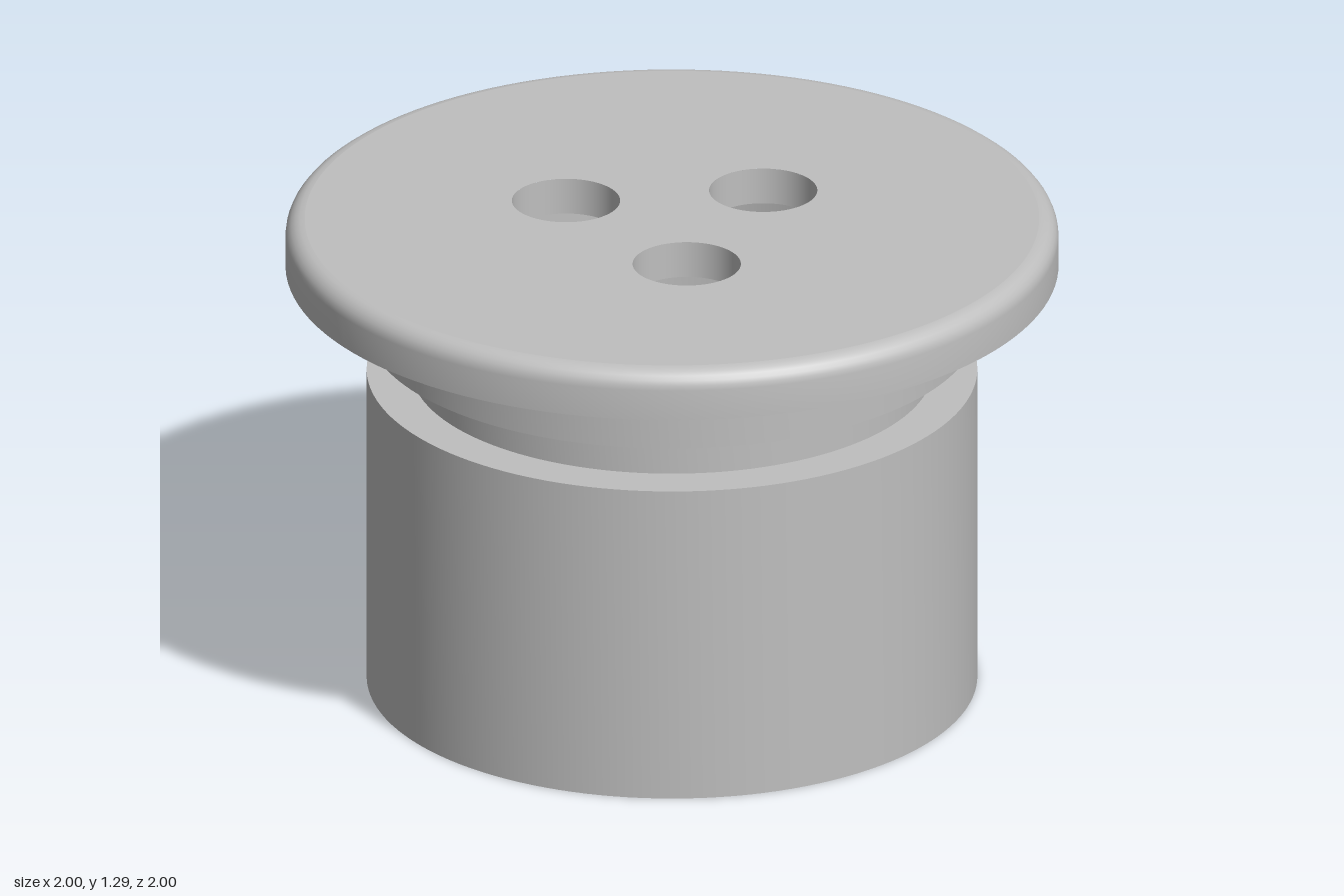
import * as THREE from 'three';
import { toCreasedNormals } from 'three/addons/utils/BufferGeometryUtils.js';

const SEG = 128;
const TOP = 1.293, CEILING = 1.195;   // cap thickness
const BORE = 0.566, FILLET = 0.05;
const HOLE_R = 0.14, HOLE_RING = 0.297;

export function createModel() {
  const group = new THREE.Group();
  const grey = new THREE.MeshStandardMaterial({ color: 0xbfbfbf });
  grey.name = 'grey';

  const add = (name, geometry, y = 0, x = 0, z = 0) => {
    const mesh = new THREE.Mesh(geometry, grey);
    mesh.name = name;
    mesh.position.set(x, y, z);
    group.add(mesh);
  };

  // Hole centres in x, z: one at the back, two toward the front
  const holes = [90, 210, 330].map((deg) => {
    const a = THREE.MathUtils.degToRad(deg);
    return [HOLE_RING * Math.cos(a), -HOLE_RING * Math.sin(a)];
  });

  // Hollow body, groove and rounded flange in one turned profile
  const profile = [
    [BORE, CEILING], [BORE, 0], [0.79, 0], [0.79, 0.867],
    [0.675, 0.867], [0.675, 0.988], [0.79, 0.988], [0.79, 1.16], [1, 1.16],
  ].map(([x, y]) => new THREE.Vector2(x, y));
  for (let i = 0; i <= 6; i++) {
    const a = (i / 6) * Math.PI / 2;
    profile.push(new THREE.Vector2(1 - FILLET + FILLET * Math.cos(a), TOP - FILLET + FILLET * Math.sin(a)));
  }
  add('body', toCreasedNormals(new THREE.LatheGeometry(profile, SEG), 0.5));

  // Flat disc pierced by the three holes, facing up (1) or down (-1)
  const disc = (radius, facing) => {
    const shape = new THREE.Shape().absarc(0, 0, radius, 0, Math.PI * 2, false);
    for (const [x, z] of holes) {
      shape.holes.push(new THREE.Path().absarc(x, -facing * z, HOLE_R, 0, Math.PI * 2, true));
    }
    return new THREE.ShapeGeometry(shape, SEG).rotateX(-facing * Math.PI / 2);
  };
  add('capTop', disc(1 - FILLET, 1), TOP);
  add('capUnderside', disc(BORE, -1), CEILING);

  // Hole walls, turned inward by running the profile downward
  const wall = [new THREE.Vector2(HOLE_R, TOP), new THREE.Vector2(HOLE_R, CEILING)];
  for (const [x, z] of holes) add('holeWall', new THREE.LatheGeometry(wall, 64), 0, x, z);

  return group;
}
